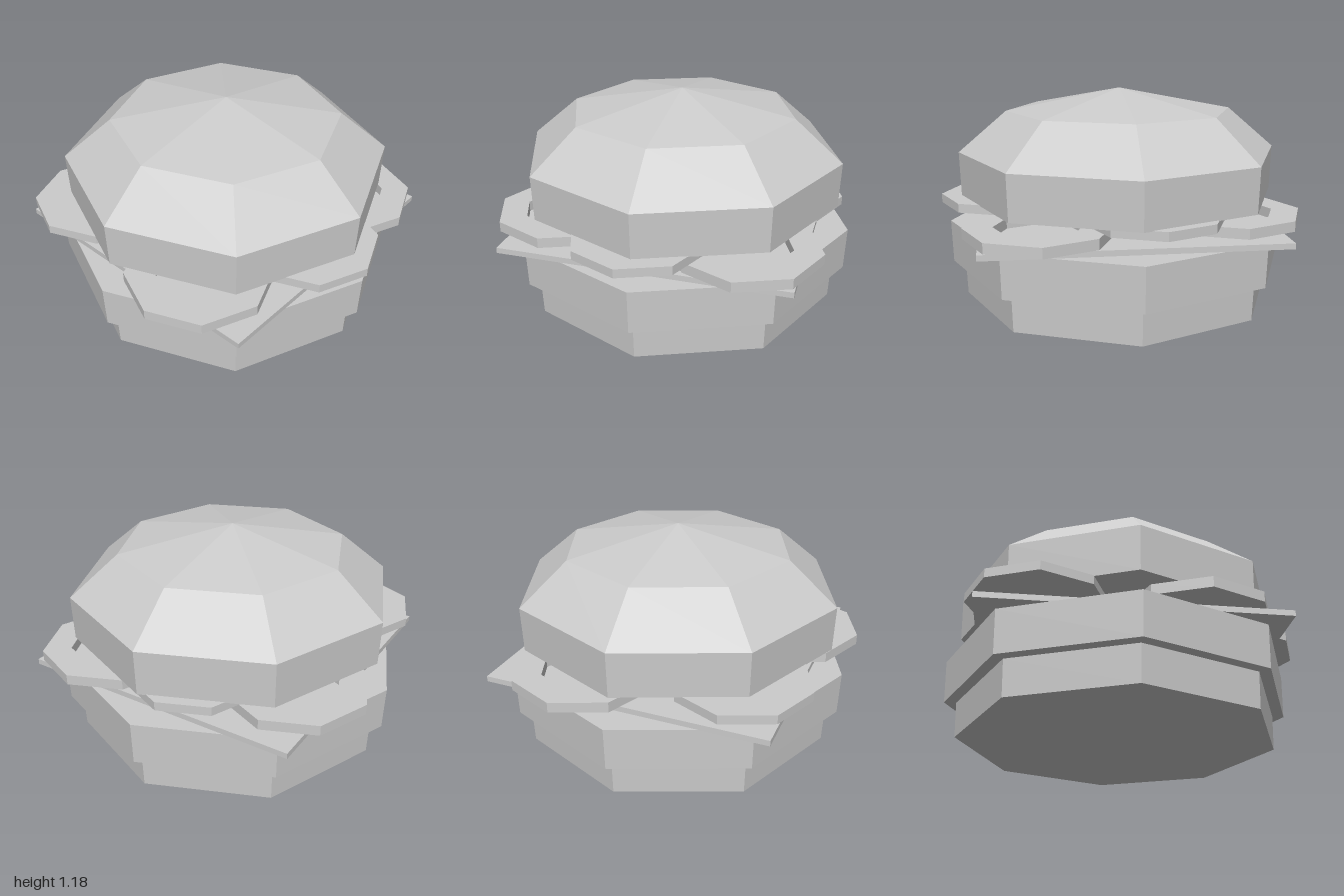
import * as THREE from 'three';

const SIDES = 8;
const CENTER_Z = -0.02;

const material = new THREE.MeshStandardMaterial({ color: 0xcccccc, flatShading: true });

function addPart(group, name, geometry, x, y, z) {
  const mesh = new THREE.Mesh(geometry, material);
  mesh.name = name;
  mesh.position.set(x, y, z);
  group.add(mesh);
}

// Eight-sided solid turned from [radius, height] pairs, listed bottom to top
function turned(profile) {
  return new THREE.LatheGeometry(profile.map(([r, y]) => new THREE.Vector2(r, y)), SIDES);
}

// Octagon outline with its corners on the axes
function octagon(PathType, radius) {
  const points = [];
  for (let i = 0; i < SIDES; i++) {
    const a = (i / SIDES) * Math.PI * 2;
    points.push(new THREE.Vector2(Math.cos(a) * radius, Math.sin(a) * radius));
  }
  return new PathType(points);
}

// Flat octagonal ring lying on y = 0
function ring(outer, inner, thickness) {
  const shape = octagon(THREE.Shape, outer);
  shape.holes.push(octagon(THREE.Path, inner));
  return new THREE.ExtrudeGeometry(shape, { depth: thickness, bevelEnabled: false }).rotateX(-Math.PI / 2);
}

export function createModel() {
  const burger = new THREE.Group();
  burger.name = 'burger';

  // Bottom bun and patty
  addPart(burger, 'bottomBun',
    turned([[0, 0], [0.888, 0], [0.896, 0.197], [0, 0.197]]), 0.003, 0, CENTER_Z);
  addPart(burger, 'patty',
    turned([[0, 0.197], [0.962, 0.197], [0.97, 0.437], [0, 0.437]]), 0.003, 0, CENTER_Z);

  // Square cheese slice
  addPart(burger, 'cheese', new THREE.BoxGeometry(1.585, 0.031, 1.585), 0, 0.4525, CENTER_Z);

  // Onion rings on the cheese
  const onion = ring(0.398, 0.24, 0.057);
  [[-0.58, 0.315], [0.5, 0.46], [0.305, -0.6]].forEach(([x, z], i) =>
    addPart(burger, `onionRing${i + 1}`, onion, x, 0.468, z));

  // Tomato slices above the onion
  const tomato = new THREE.CylinderGeometry(0.373, 0.373, 0.049, SIDES);
  [[-0.545, -0.5], [-0.045, 0.625], [0.545, -0.137]].forEach(([x, z], i) =>
    addPart(burger, `tomatoSlice${i + 1}`, tomato, x, 0.561, z));

  // Domed top bun
  addPart(burger, 'topBun',
    turned([[0, 0.582], [0.902, 0.582], [0.91, 0.832], [0.64, 1.062], [0, 1.185]]), 0.003, 0, CENTER_Z);

  return burger;
}
